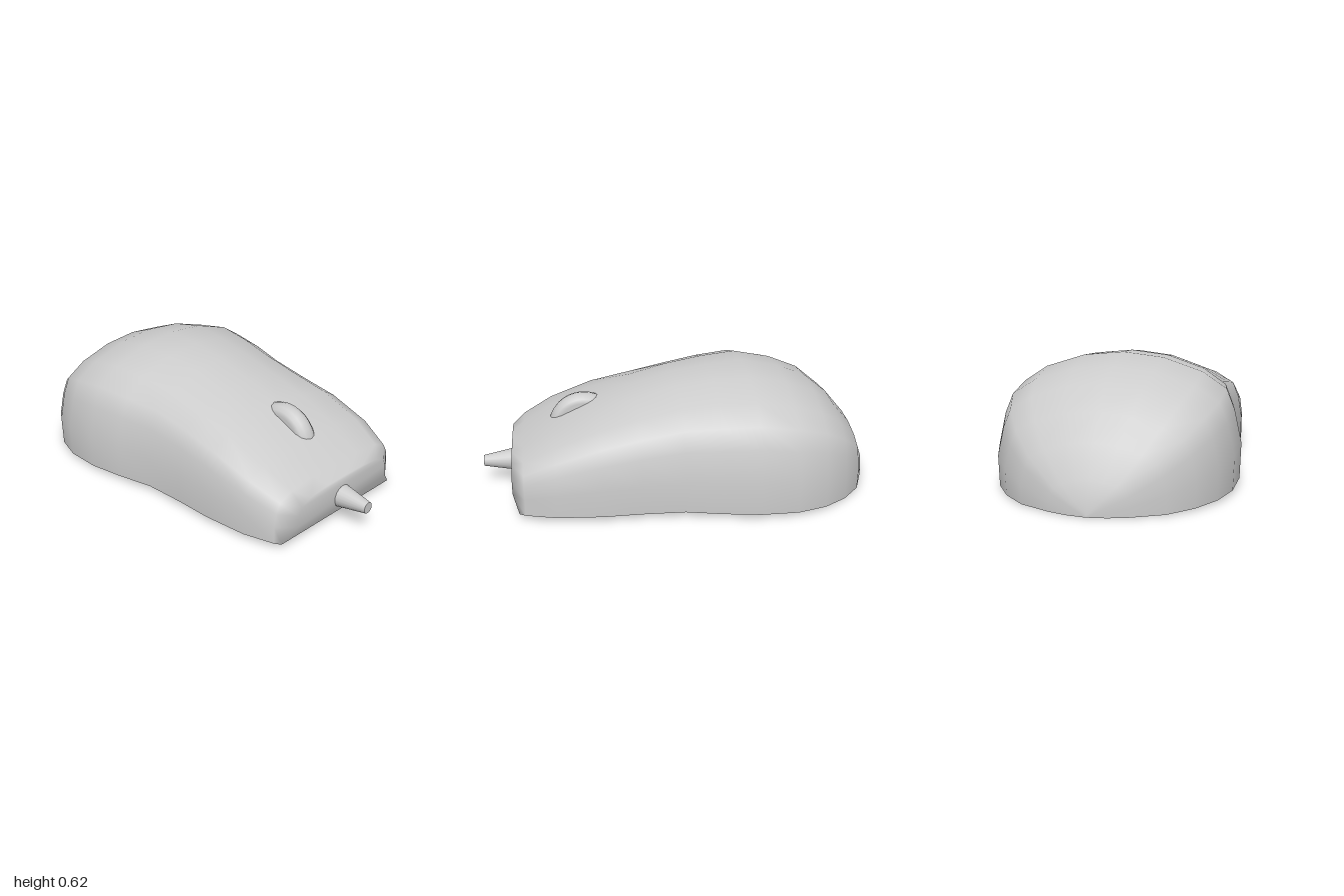
import * as THREE from 'three';
import { mergeVertices } from 'three/addons/utils/BufferGeometryUtils.js';

const grey = new THREE.MeshStandardMaterial({ color: 0xcccccc });

// Stations along the body: x, half width, top height
const stations = [
  [-1, 0, 0.005], [-0.99, 0.09, 0.08], [-0.965, 0.18, 0.15], [-0.9, 0.33, 0.3],
  [-0.8, 0.44, 0.42], [-0.68, 0.52, 0.52], [-0.53, 0.57, 0.58], [-0.34, 0.578, 0.62],
  [-0.16, 0.545, 0.605], [0.02, 0.5, 0.578], [0.23, 0.49, 0.52], [0.42, 0.488, 0.46],
  [0.64, 0.465, 0.362], [0.79, 0.42, 0.275], [0.85, 0.33, 0.238],
];

// Half cross-sections from base to crown (z / half width, height fraction)
const roundHalf = [[0.99, 0], [1, 0.29], [0.94, 0.56], [0.87, 0.73], [0.67, 0.86], [0.34, 0.965], [0, 1]];
const boxyHalf = [[1, 0], [1, 0.35], [0.98, 0.62], [0.92, 0.8], [0.74, 0.93], [0.38, 0.985], [0, 1]];

const baseY = (x) => Math.min(0.028, (x + 1) * 0.045);

// One arch from the +z base edge over the crown to the -z base edge
function archAt([x, w, h], last) {
  const t = THREE.MathUtils.smoothstep(x, 0, 0.85);
  const b = baseY(x);
  const half = roundHalf.map(([z, y], j) => {
    const fz = THREE.MathUtils.lerp(z, boxyHalf[j][0], t);
    const fy = THREE.MathUtils.lerp(y, boxyHalf[j][1], t);
    const p = new THREE.Vector3(x, b + (h - b) * fy, w * fz);
    if (last && j === 0) p.set(0.82, b, 0.4); // nose undercuts at the base
    return p;
  });
  const mirrored = half.slice(0, -1).reverse().map((p) => new THREE.Vector3(p.x, p.y, -p.z));
  return [...half, ...mirrored];
}

function meshFromTriangles(name, points, index) {
  let geometry = new THREE.BufferGeometry().setFromPoints(points);
  geometry.setIndex(index);
  geometry = mergeVertices(geometry, 1e-4);
  geometry.computeVertexNormals();
  const mesh = new THREE.Mesh(geometry, grey);
  mesh.name = name;
  return mesh;
}

// Smooth shell lofted through the arches and closed at the nose
function createShell(arches) {
  const n = arches[0].length;
  const index = [];
  for (let i = 0; i < arches.length - 1; i++) {
    for (let j = 0; j < n - 1; j++) {
      const a = i * n + j, b = a + n;
      index.push(a, b, a + 1, b, b + 1, a + 1);
    }
  }
  const first = (arches.length - 1) * n;
  for (let j = 0; j < (n - 1) / 2; j++) {
    const p = first + j, q = first + n - 1 - j;
    index.push(q, q - 1, p);
    if (q - 1 !== p + 1) index.push(q - 1, p + 1, p);
  }
  return meshFromTriangles('shell', arches.flat(), index);
}

// Flat underside spanning the two base edges
function createUnderside(arches) {
  const points = arches.flatMap((arch) => [arch[0], arch[arch.length - 1]]);
  const index = [];
  for (let i = 0; i < arches.length - 1; i++) {
    const p = i * 2, q = p + 1;
    index.push(q, q + 2, p, q + 2, p + 2, p);
  }
  return meshFromTriangles('underside', points, index);
}

export function createModel() {
  const model = new THREE.Group();
  model.name = 'computerMouse';

  const arches = stations.map((s, i) => archAt(s, i === stations.length - 1));
  model.add(createShell(arches), createUnderside(arches));

  // Scroll wheel with a rounded rim
  const rim = [[0, -0.055], [0.135, -0.055], [0.155, -0.046], [0.17, -0.028], [0.177, 0],
    [0.17, 0.028], [0.155, 0.046], [0.135, 0.055], [0, 0.055]];
  const wheel = new THREE.Mesh(
    new THREE.LatheGeometry(rim.map(([r, y]) => new THREE.Vector2(r, y)), 32), grey);
  wheel.name = 'scrollWheel';
  wheel.rotation.x = Math.PI / 2;
  wheel.position.set(0.48, 0.305, 0.01);
  model.add(wheel);

  // Tapered cord sleeve at the nose
  const sleeve = new THREE.Mesh(new THREE.CylinderGeometry(0.028, 0.06, 0.17, 20), grey);
  sleeve.name = 'cordSleeve';
  sleeve.rotation.z = -Math.PI / 2;
  sleeve.position.set(0.915, 0.13, 0.01);
  model.add(sleeve);

  return model;
}
